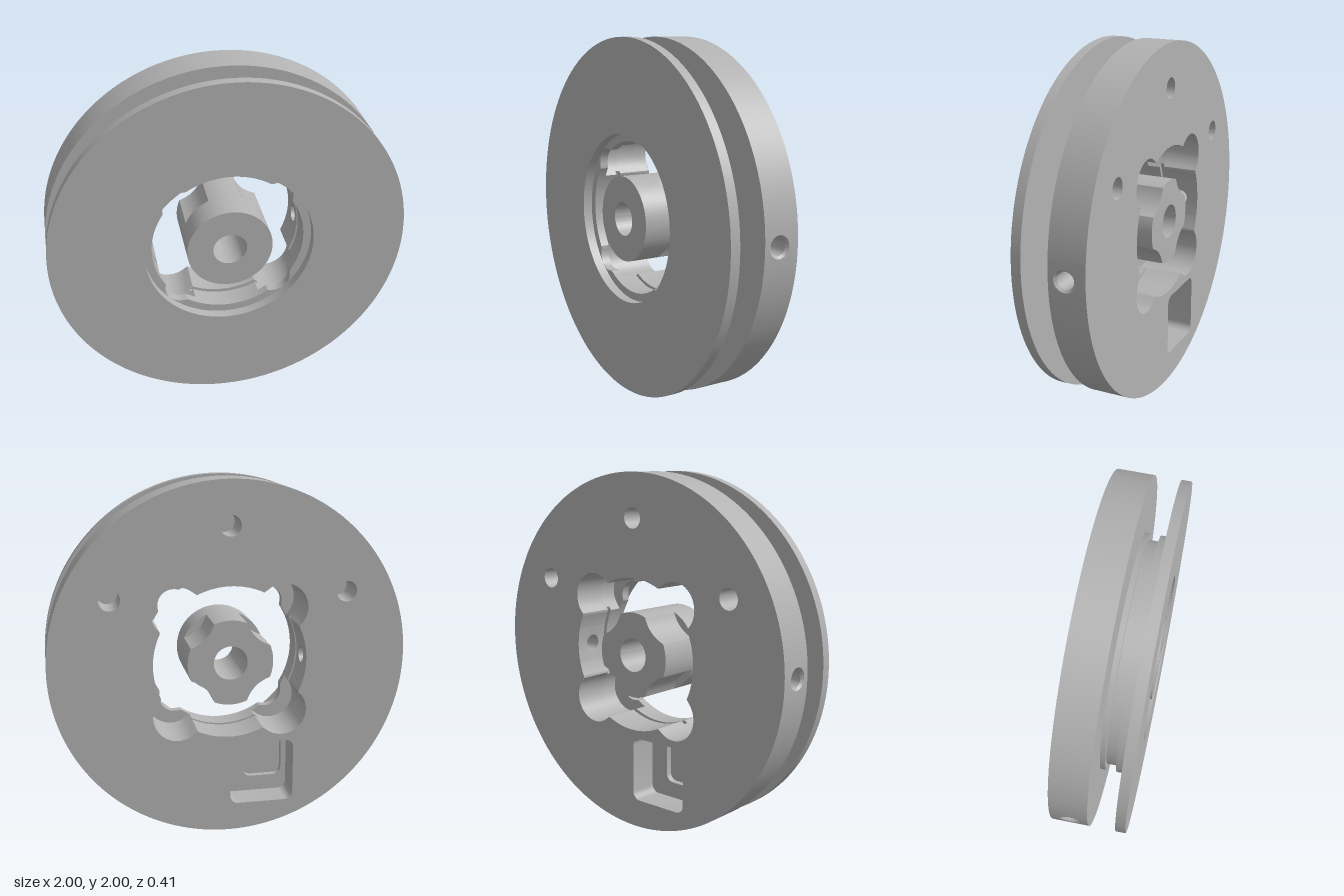
import * as THREE from 'three';
import { toCreasedNormals } from 'three/addons/utils/BufferGeometryUtils.js';

const BACK = -0.205, FRONT = 0.205, N = 240;

// skin a sequence of equal-length point rings
function loft(rings, closed = true) {
  const pos = [], n = rings[0].length;
  for (let i = 0; i < rings.length - 1; i++) {
    for (let j = 0; j < (closed ? n : n - 1); j++) {
      const k = (j + 1) % n;
      const a = rings[i][j], b = rings[i][k], c = rings[i + 1][k], d = rings[i + 1][j];
      pos.push(...a, ...b, ...c, ...a, ...c, ...d);
    }
  }
  const g = new THREE.BufferGeometry();
  g.setAttribute('position', new THREE.Float32BufferAttribute(pos, 3));
  return toCreasedNormals(g, 0.5);
}

// ring at height z whose radius is a number or a function of the angle
function ring(r, z, from = 0, to = Math.PI * 2, count = N, open = false) {
  const pts = [];
  for (let i = 0; i < count + (open ? 1 : 0); i++) {
    const t = from + (to - from) * i / count;
    const R = typeof r === 'function' ? r(t) : r;
    pts.push([R * Math.cos(t), R * Math.sin(t), z]);
  }
  return pts;
}
const profile = list => loft(list.map(([r, z]) => ring(r, z)));

// distance along a ray to a circle centred on the nearest diagonal
function diagonal(t, d, rho, sign) {
  const q = Math.PI / 2, phi = ((t % q) + q) % q - q / 2;
  const s = rho * rho - (d * Math.sin(phi)) ** 2;
  return s < 0 ? null : d * Math.cos(phi) + sign * Math.sqrt(s);
}
const lobed = (r, d, rho) => t => Math.max(r, diagonal(t, d, rho, 1) ?? 0);
const fluted = (r, d, rho) => t => Math.min(r, diagonal(t, d, rho, -1) ?? r);

const rearBore = lobed(0.43, 0.417, 0.14);
const grooveBore = lobed(0.45, 0.417, 0.14);
const lipBore = lobed(0.43, 0.382, 0.093);

// rounded rectangle, counter-clockwise
function roundedRect(x0, y0, x1, y1, r) {
  const pts = [];
  [[x1 - r, y1 - r], [x0 + r, y1 - r], [x0 + r, y0 + r], [x1 - r, y0 + r]].forEach(([cx, cy], q) => {
    for (let i = 0; i <= 6; i++) {
      const t = (q + i / 6) * Math.PI / 2;
      pts.push([cx + r * Math.cos(t), cy + r * Math.sin(t)]);
    }
  });
  return pts;
}
const at = (pts, z) => pts.map(p => [p[0], p[1], z]);

// radial screw hole: outer wall patch, chamfer, tunnel and bore wall patch
function sideHole() {
  const zc = -0.09, n = 48;
  const make = (R, r) => Array.from({ length: n }, (_, i) => {
    const t = i / n * Math.PI * 2, c = Math.cos(t), s = Math.sin(t);
    let y = r * c, z = zc + r * s;
    if (!r) {
      const k = 1 / Math.max(Math.abs(c), Math.abs(s));
      y = 0.1 * k * c;
      z = zc + (s > 0 ? -zc : zc - BACK) * k * s;
    }
    return [Math.sqrt(R * R - y * y), y, z];
  });
  return loft([make(1, 0), make(1, 0.06), make(0.987, 0.047), make(0.43, 0.047), make(0.43, 0)]);
}

export function createModel() {
  const root = new THREE.Group();
  const model = new THREE.Group();
  model.name = 'pulleyWheel';
  model.position.y = 1;
  root.add(model);

  const grey = new THREE.MeshStandardMaterial({ color: 0xb2b2b2, side: THREE.DoubleSide });
  grey.name = 'plainGrey';
  const add = (name, geometry, turn = 0) => {
    const mesh = new THREE.Mesh(geometry, grey);
    mesh.name = name;
    mesh.rotation.z = turn;
    model.add(mesh);
  };

  // front flange with counterbore
  add('frontFlange', profile([[0.68, 0.15], [1, 0.15], [1, FRONT], [0.475, FRONT], [0.475, 0.15], [lipBore, 0.15]]));

  // grooved core between the flanges
  add('grooveCore', profile([
    [1, 0], [0.68, 0], [0.68, 0.03], [0.645, 0.03], [0.645, 0.09], [0.68, 0.09], [0.68, 0.15],
  ]));

  // lobed inner bore with lip and ring groove
  add('innerBore', profile([
    [lipBore, 0.15], [lipBore, 0.1], [rearBore, 0.1], [rearBore, 0.025],
    [grooveBore, 0.025], [grooveBore, 0], [rearBore, 0],
  ]));

  // rear flange walls, leaving room for the two side holes
  const a = Math.asin(0.1), b = Math.asin(0.1 / 0.43);
  for (const turn of [0, Math.PI]) {
    const arc = (r, z, m) => ring(r, z, m, Math.PI - m, N / 2, true);
    add('rearFlangeRim', loft([arc(1, BACK, a), arc(1, 0, a)], false), turn);
    add('rearBoreWall', loft([arc(rearBore, 0, b), arc(rearBore, BACK, b)], false), turn);
    add('sideHole', sideHole(), turn);
  }

  // rear face with bore, bolt holes and window cut out
  const windowOuter = roundedRect(-0.365, -0.84, 0, -0.475, 0.045);
  const windowInner = roundedRect(-0.335, -0.75, -0.11, -0.51, 0.045);
  const bolts = [30, 90, 150].map(deg => {
    const t = THREE.MathUtils.degToRad(deg);
    return ring(0.058, 0, 0, Math.PI * 2, 40)
      .map(p => [p[0] + 0.755 * Math.cos(t), p[1] + 0.755 * Math.sin(t)]);
  });
  const vectors = pts => pts.map(p => new THREE.Vector2(p[0], p[1]));
  const face = new THREE.Shape(vectors(ring(1, 0)));
  for (const cut of [ring(rearBore, 0), windowOuter, ...bolts]) face.holes.push(new THREE.Path(vectors(cut)));
  const rear = new THREE.ShapeGeometry(face);
  rear.index.array.reverse();
  rear.translate(0, 0, BACK);
  rear.computeVertexNormals();
  add('rearFace', rear);

  // blind bolt holes
  for (const pts of bolts) {
    const cx = (pts[0][0] + pts[20][0]) / 2, cy = (pts[0][1] + pts[20][1]) / 2;
    add('boltHole', loft([pts.map(() => [cx, cy, -0.02]), at(pts, -0.02), at(pts, BACK)]));
  }

  // stepped window pocket
  add('windowPocket', loft([
    windowInner.map(() => [-0.22, -0.63, -0.005]),
    at(windowInner, -0.005), at(windowInner, -0.04), at(windowOuter, -0.04), at(windowOuter, BACK),
  ]));

  // central hub with four flutes at the rear
  const flute = fluted(0.24, 0.4, 0.2);
  add('hub', profile([
    [0.095, BACK], [flute, BACK], [flute, 0.04], [0.24, 0.04],
    [0.24, FRONT], [0.095, FRONT], [0.095, BACK],
  ]));

  return root;
}
